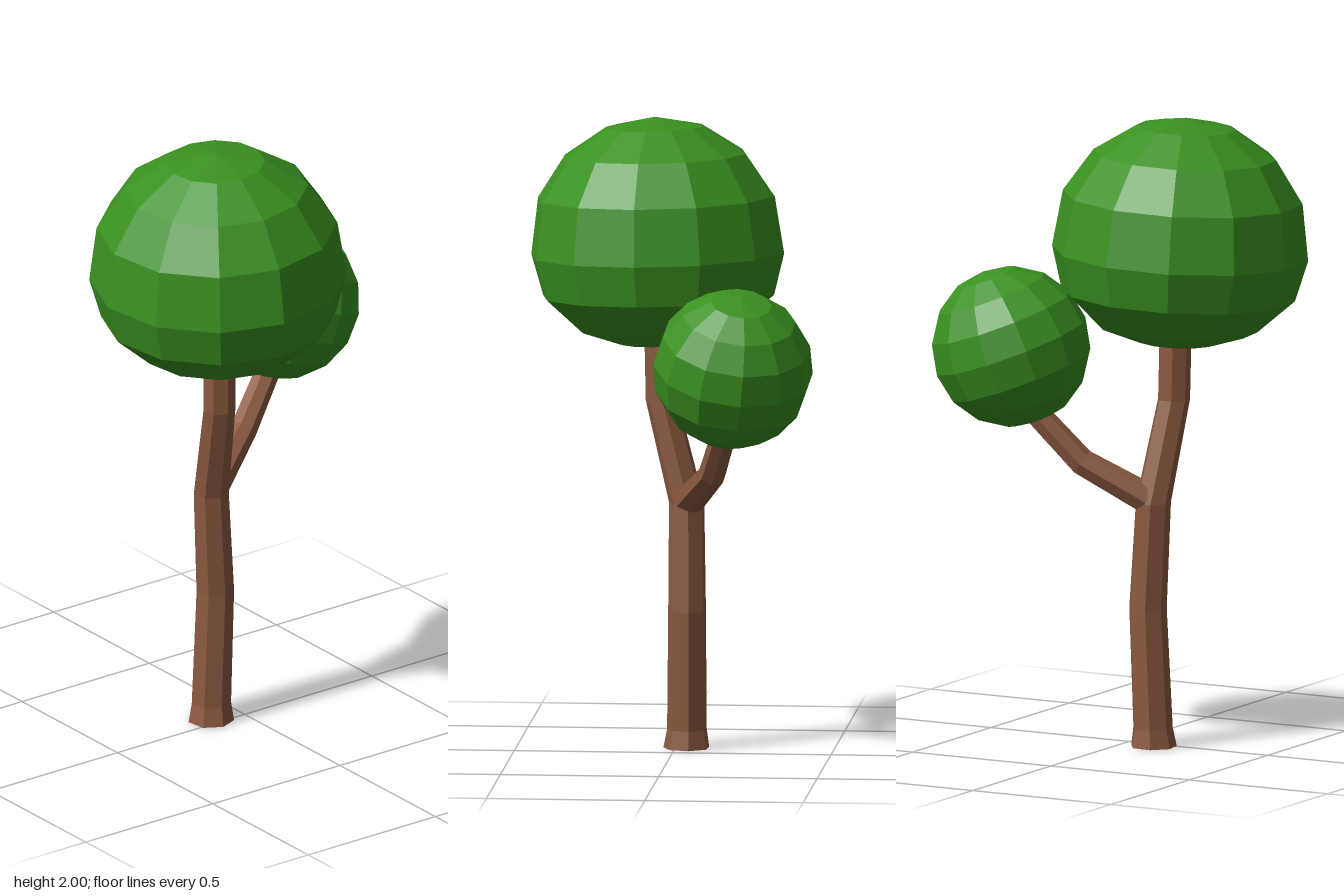
import * as THREE from 'three';

const bark = new THREE.MeshStandardMaterial({ color: 0x8b5a40, flatShading: true });
const leaf = new THREE.MeshStandardMaterial({ color: 0x3a9120, flatShading: true });
const UP = new THREE.Vector3(0, 1, 0);

// Seven-sided limb through stations [x, y, z, radius], capped at both ends
function limb(name, stations, tilted) {
  const sides = 7, start = 0.07, pos = [], index = [];
  const centres = stations.map(s => new THREE.Vector3(s[0], s[1], s[2]));
  const last = stations.length - 1;
  stations.forEach((s, i) => {
    const dir = centres[Math.min(i + 1, last)].clone().sub(centres[Math.max(i - 1, 0)]).normalize();
    const turn = new THREE.Quaternion();
    if (tilted) turn.setFromUnitVectors(UP, dir);
    for (let k = 0; k < sides; k++) {
      const a = start + k * 2 * Math.PI / sides;
      const p = new THREE.Vector3(Math.cos(a), 0, Math.sin(a)).multiplyScalar(s[3]);
      pos.push(...p.applyQuaternion(turn).add(centres[i]).toArray());
    }
  });
  const bottom = pos.length / 3, top = bottom + 1;
  pos.push(...centres[0].toArray(), ...centres[last].toArray());
  for (let k = 0; k < sides; k++) {
    const n = (k + 1) % sides;
    for (let i = 0; i < last; i++) {
      const a = i * sides + k, b = i * sides + n;
      index.push(a, a + sides, b, b, a + sides, b + sides);
    }
    index.push(bottom, k, n, top, last * sides + n, last * sides + k);
  }
  const geo = new THREE.BufferGeometry();
  geo.setAttribute('position', new THREE.Float32BufferAttribute(pos, 3));
  geo.setIndex(index);
  geo.computeVertexNormals();
  const mesh = new THREE.Mesh(geo, bark);
  mesh.name = name;
  return mesh;
}

// Twelve-sided ball of leaves from a [radius, height] profile, leaning along an axis
function foliage(name, profile, centre, axis, spin) {
  const points = profile.map(p => new THREE.Vector2(p[0], p[1]));
  const mesh = new THREE.Mesh(new THREE.LatheGeometry(points, 12, spin), leaf);
  mesh.quaternion.setFromUnitVectors(UP, new THREE.Vector3(...axis).normalize());
  mesh.position.set(...centre);
  mesh.name = name;
  return mesh;
}

export function createModel() {
  const tree = new THREE.Group();
  tree.name = 'tree';

  // Trunk with a flared foot and a bend above the fork
  tree.add(limb('trunk', [
    [-0.035, 0, 0.107, 0.074],
    [-0.037, 0.06, 0.105, 0.064],
    [-0.039, 0.44, 0.088, 0.061],
    [-0.036, 0.78, 0.106, 0.057],
    [0.045, 1.1, 0.135, 0.052],
    [0.05, 1.33, 0.138, 0.052],
  ], false));

  // Side branch leaning to the back right
  tree.add(limb('branch', [
    [-0.045, 0.79, 0.09, 0.05],
    [-0.135, 0.905, -0.095, 0.044],
    [-0.18, 1.04, -0.215, 0.041],
    [-0.195, 1.09, -0.255, 0.04],
  ], true));

  // Large crown, flattened underneath
  tree.add(foliage('mainCrown', [
    [0, -0.295], [0.125, -0.283], [0.255, -0.238], [0.37, -0.13], [0.405, 0],
    [0.379, 0.18], [0.289, 0.315], [0.155, 0.402], [0, 0.433],
  ], [0.06, 1.565, 0.15], [0.026, 1, 0.04], THREE.MathUtils.degToRad(24.3)));

  // Small round crown on the branch
  const ball = [];
  for (let i = 0; i <= 8; i++) {
    const a = i * Math.PI / 8;
    ball.push([i % 8 ? 0.254 * Math.sin(a) : 0, -0.254 * Math.cos(a)]);
  }
  tree.add(foliage('sideCrown', ball, [-0.217, 1.27, -0.304], [-0.14, 0.937, -0.32], 0.2));

  return tree;
}
